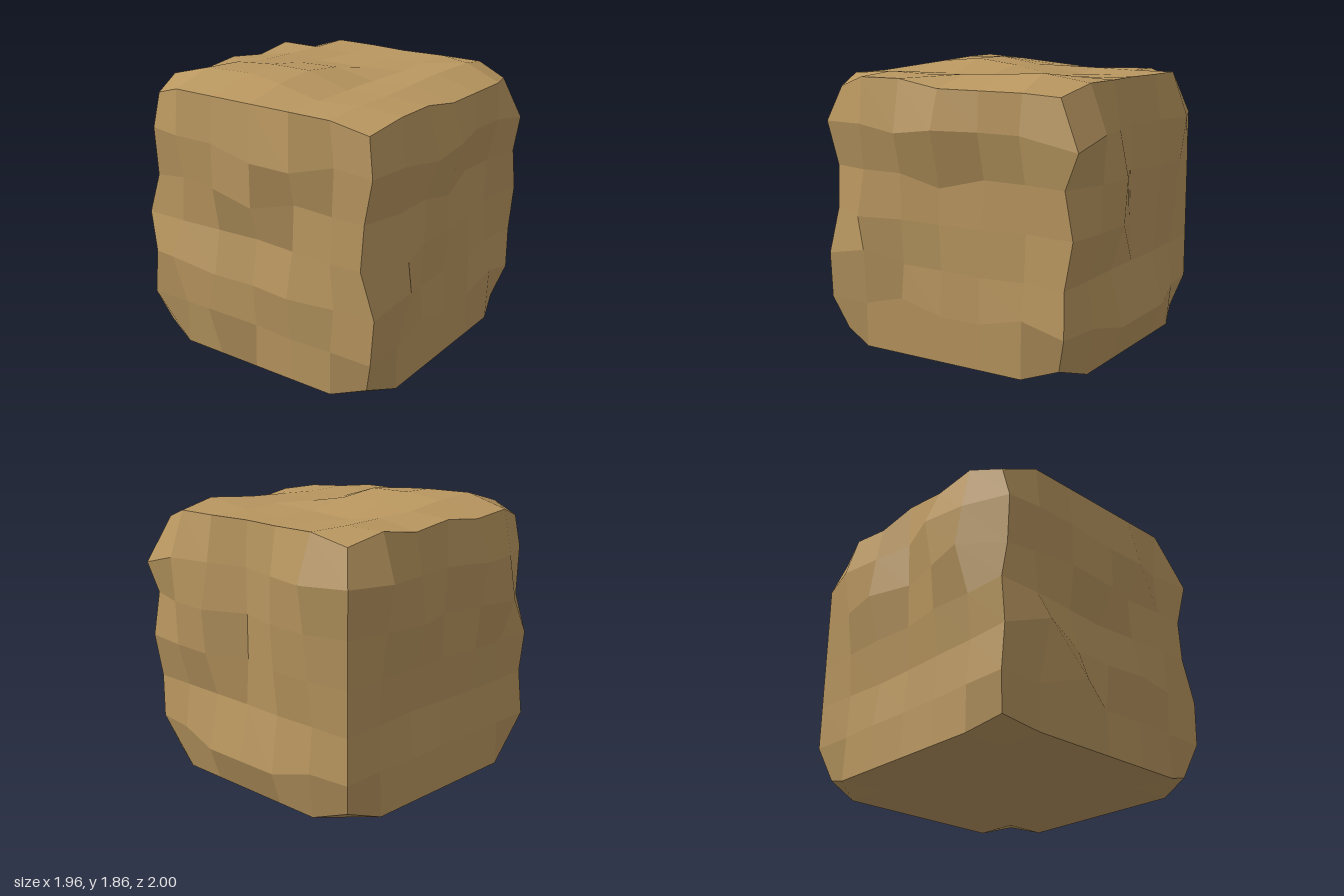
import * as THREE from 'three';

const SIZE = 1.77, SEGMENTS = 6, STEP = SIZE / SEGMENTS, HALF = SIZE / 2, SHIFT = 0.015;

// Lumps of each side, in hundredths above the flat face, row by row as seen facing it.
const sides = [
  { // front
    lumps: [[3, 3, 6, 6, -4], [-2, 3, 6, -4, -2], [0, -2, -4, -2, 0], [11, 4, 2, 5, 0], [0, 11, -1, 1, 0]],
    place: (u, v, h) => [u + SHIFT, HALF + v, HALF + h],
  },
  { // back, with an upright groove and a low shelf
    lumps: [[11, 5, -2, 5, 11], [9, 11, -2, 6, 7], [8, 9, -2, 4, 4], [0, 0, 0, 1, 0], [4, 8, 8, 8, 3]],
    place: (u, v, h) => [SHIFT - u, HALF + v, -HALF - h],
  },
  { // left
    lumps: [[3, 8, 8, 1, 2], [0, 0, -1, -6, -5], [7, 0, 0, -2, -6], [7, -2, -2, 0, -4], [0, 0, 0, 0, 1]],
    place: (u, v, h) => [HALF + SHIFT + h, HALF + v, -u],
  },
  { // right
    lumps: [[9, 5, 0, 11, 6], [4, 9, -1, 5, 11], [0, 0, -2, 2, 0], [-2, -4, -4, -3, -3], [-1, 0, -1, -1, 0]],
    place: (u, v, h) => [SHIFT - HALF - h, HALF + v, u],
  },
  { // top
    lumps: [[0, -1, -1, 0, 5], [1, -2, -1, 1, 3], [2, 4, 5, 0, 2], [6, 8.5, 8.5, 0, 1], [8, 8, 6, 0, 2]],
    place: (u, v, h) => [u + SHIFT, SIZE + h, -v],
  },
];

// Vertices that also slide sideways.
const slides = [
  [0.05, 1.13, 0.945], [0.05, 1.42, 0.945], [0.35, 1.42, 0.945],
  [-0.58, 0.67, 1.0], [-0.28, 0.38, 1.0], [0.63, 0.59, 0.885],
  [0.97, 0.67, 0.55], [0.98, 1.44, 0.28], [0.89, 1.11, 0], [0.9, 0.37, 0.3], [0.91, 0.37, -0.6],
  [0.3, 0.23, -0.97], [0, 0.23, -0.97], [-0.3, 0.23, -0.97],
  [-0.26, 1.85, 0.55], [-0.35, 1.75, -0.32], [0.35, 1.78, -0.3], [0.66, 1.82, -0.6],
];
// Worn edges: upright edges and the rims of the top.
const edgeChips = [
  [-0.8, 1.48, 0.88], [-0.8, 1.15, 0.86], [-0.84, 0.6, 0.88],
  [0.83, 1.18, 0.86], [0.82, 0.89, 0.88], [0.92, 0.6, 0.88],
  [0.9, 1.4, -0.97], [0.9, 0.89, -0.94],
  [0.9, 1.72, 0], [0.9, 1.72, -0.3], [0.9, 1.72, -0.6],
  [-0.87, 1.74, 0.3], [-0.87, 1.73, -0.3], [0, 1.77, -0.86],
];

function pullNearest(position, rest, [x, y, z]) {
  const target = new THREE.Vector3(x, y, z);
  const nearest = rest.reduce((a, b) =>
    (b.distanceToSquared(target) < a.distanceToSquared(target) ? b : a));
  rest.forEach((p, i) => {
    if (p.distanceTo(nearest) < 0.001) position.setXYZ(i, x, y, z);
  });
}

// Split every grid cell from its upper left to its lower right corner.
function flipDiagonals(geometry) {
  const old = geometry.index.array, index = [];
  for (let i = 0; i < old.length; i += 6) {
    const [a, b, d, , c] = old.subarray(i, i + 6);
    index.push(a, b, c, a, c, d);
  }
  geometry.setIndex(index);
}

// One shared normal for the two triangles of every grid cell.
function shadeByCell(geometry) {
  geometry.computeVertexNormals();
  const normal = geometry.attributes.normal;
  for (let i = 0; i < normal.count; i += 6) {
    const n = new THREE.Vector3().fromBufferAttribute(normal, i)
      .add(new THREE.Vector3().fromBufferAttribute(normal, i + 3)).normalize();
    for (let k = i; k < i + 6; k++) normal.setXYZ(k, n.x, n.y, n.z);
  }
}

export function createModel() {
  const box = new THREE.BoxGeometry(SIZE, SIZE, SIZE, SEGMENTS, SEGMENTS, SEGMENTS);
  const centre = new THREE.Vector3(SHIFT, HALF, 0);
  box.translate(...centre);
  flipDiagonals(box);
  const position = box.attributes.position;
  const rest = Array.from({ length: position.count },
    (_, i) => new THREE.Vector3().fromBufferAttribute(position, i));

  // Blunt the eight corners.
  rest.forEach((p, i) => {
    const d = p.clone().sub(centre);
    if (Math.min(Math.abs(d.x), Math.abs(d.y), Math.abs(d.z)) > HALF - 0.01) {
      d.multiplyScalar(0.92).add(centre);
      position.setXYZ(i, d.x, d.y, d.z);
    }
  });

  // Raise the lumps, then slide and chip.
  for (const { lumps, place } of sides) {
    lumps.forEach((row, r) => row.forEach((h, c) =>
      pullNearest(position, rest, place((c - 2) * STEP, (2 - r) * STEP, h / 100))));
  }
  for (const point of [...slides, ...edgeChips]) pullNearest(position, rest, point);

  const geometry = box.toNonIndexed();
  shadeByCell(geometry);
  const block = new THREE.Mesh(geometry, new THREE.MeshStandardMaterial({ color: 0xb8965f }));
  block.name = 'lumpyBlock';

  const group = new THREE.Group();
  group.name = 'earthBlock';
  group.add(block);
  return group;
}
